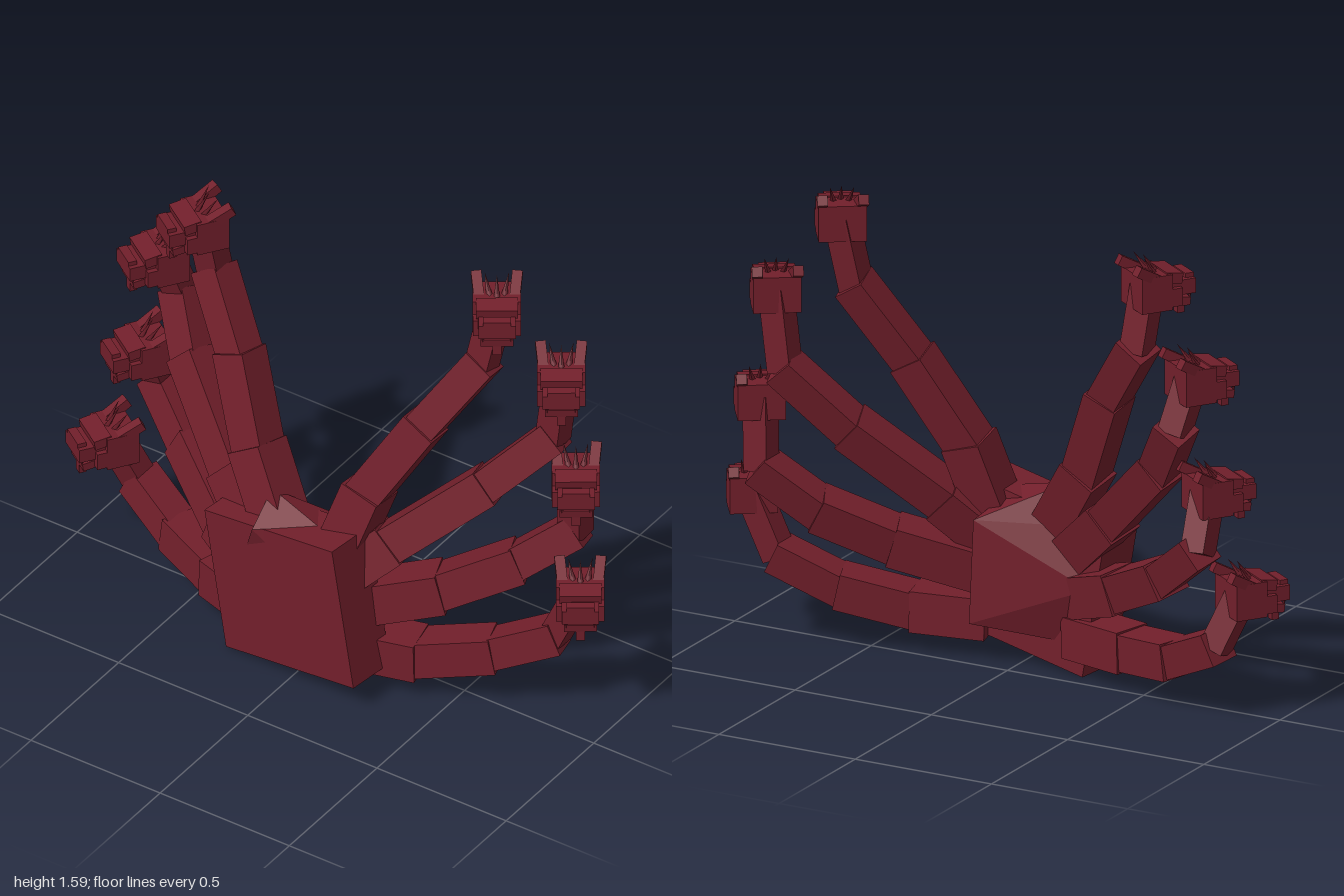
import * as THREE from 'three';
import { ConvexGeometry } from 'three/addons/geometries/ConvexGeometry.js';

const hide = new THREE.MeshStandardMaterial({ color: 0x721f2b });
hide.name = 'dark red hide';

function add(parent, name, geometry, pos = [0, 0, 0], rot = [0, 0, 0]) {
  const mesh = new THREE.Mesh(geometry, hide);
  mesh.name = name;
  mesh.position.set(...pos);
  mesh.rotation.set(...rot);
  parent.add(mesh);
  return mesh;
}
const box = (w, h, d) => new THREE.BoxGeometry(w, h, d);

// One square neck segment between two joints, overlapping its neighbours
function addSegment(parent, a, b, width) {
  const y = b.clone().sub(a);
  const length = y.length();
  y.normalize();
  const x = new THREE.Vector3().crossVectors(y, new THREE.Vector3(0, 0, 1)).normalize();
  const z = new THREE.Vector3().crossVectors(x, y);
  const mesh = add(parent, 'neckSegment', box(width, length + width * 0.25, width));
  mesh.position.copy(a).lerp(b, 0.5);
  mesh.quaternion.setFromRotationMatrix(new THREE.Matrix4().makeBasis(x, y, z));
}

// Blocky head facing local +z
function makeHead() {
  const head = new THREE.Group();
  head.name = 'head';
  add(head, 'skull', box(0.155, 0.12, 0.11));
  add(head, 'brow', box(0.135, 0.035, 0.06), [0, 0.043, 0.065], [0.15, 0, 0]);
  add(head, 'snout', box(0.12, 0.05, 0.1), [0, 0.005, 0.095]);
  add(head, 'nose', box(0.09, 0.03, 0.03), [0, 0.03, 0.13]);
  add(head, 'lowerJaw', box(0.105, 0.028, 0.09), [0, -0.043, 0.085], [0.12, 0, 0]);
  add(head, 'chin', box(0.028, 0.05, 0.025), [0, -0.072, 0.115]);
  for (const side of [-1, 1]) {
    add(head, 'horn', box(0.034, 0.034, 0.09), [side * 0.062, 0.065, -0.03], [0.5, side * -0.1, 0]);
    add(head, 'cheek', box(0.025, 0.06, 0.05), [side * 0.065, -0.02, 0.065]);
    add(head, 'fang', new THREE.ConeGeometry(0.009, 0.035, 4), [side * 0.045, -0.03, 0.13], [Math.PI, 0, 0]);
  }
  // Crest of thin spikes
  for (let i = -1; i <= 1; i++) {
    add(head, 'crestSpike', new THREE.ConeGeometry(0.013, 0.09, 4),
      [i * 0.03, 0.08, 0.01 - Math.abs(i) * 0.015], [-0.6, 0, -i * 0.2]);
  }
  return head;
}

// Neck joints from body to head
const necks = [
  [[0.12, 0.52, 0.12], [0.18, 0.72, 0.08], [0.34, 1.0, 0], [0.5, 1.26, -0.1], [0.54, 1.485, -0.125]],
  [[0.15, 0.43, 0.12], [0.25, 0.53, 0.06], [0.51, 0.77, -0.1], [0.7, 0.98, -0.21], [0.735, 1.235, -0.205]],
  [[0.15, 0.3, 0.12], [0.4, 0.38, 0], [0.61, 0.49, -0.13], [0.78, 0.635, -0.22], [0.795, 0.86, -0.2]],
  [[0.15, 0.14, 0.12], [0.36, 0.145, 0.07], [0.59, 0.2, -0.02], [0.79, 0.3, -0.09], [0.88, 0.5, -0.1]],
  [[-0.12, 0.5, 0.13], [-0.25, 0.7, 0.07], [-0.37, 0.99, 0], [-0.52, 1.21, -0.08], [-0.54, 1.41, -0.05]],
  [[-0.2, 0.42, 0.12], [-0.35, 0.56, 0.05], [-0.61, 0.82, -0.09], [-0.71, 0.99, -0.17], [-0.74, 1.15, -0.12]],
  [[-0.2, 0.27, 0.12], [-0.39, 0.335, 0.04], [-0.63, 0.46, -0.1], [-0.8, 0.6, -0.18], [-0.79, 0.77, -0.1]],
  [[-0.2, 0.13, 0.12], [-0.41, 0.135, 0.06], [-0.62, 0.16, -0.02], [-0.81, 0.25, -0.08], [-0.875, 0.42, -0.03]],
];
const widths = [0.14, 0.125, 0.11, 0.085];

export function createModel() {
  const model = new THREE.Group();
  model.name = 'manyHeadedCreature';

  // Tilted chest slab
  const chest = add(model, 'chest', box(0.55, 0.51, 0.18), [-0.03, 0.308, 0.173]);
  chest.rotation.set(0, -0.12, 0.18, 'YXZ');

  // Angular back block that breaks through the top of the slab
  const backPoints = [
    [-0.15, 0.63, 0.14], [-0.14, 0.55, 0.27], [-0.2, 0.4, 0.23], [0.05, 0.58, 0.17],
    [0.12, 0.5, -0.01], [0.13, 0.15, -0.02], [-0.22, 0.1, 0.1], [-0.12, 0.5, 0.07],
    [-0.27, 0.31, 0.05], [0.2, 0.2, 0.15],
  ].map(p => new THREE.Vector3(...p));
  add(model, 'backBlock', new ConvexGeometry(backPoints));

  for (const path of necks) {
    const neck = new THREE.Group();
    neck.name = 'neck';
    const joints = path.map(p => new THREE.Vector3(...p));
    widths.forEach((w, i) => addSegment(neck, joints[i], joints[i + 1], w));
    // Heads turn outward from the body
    const head = makeHead();
    head.position.copy(joints[4]);
    head.rotation.y = Math.sign(path[4][0]) * 0.6;
    neck.add(head);
    model.add(neck);
  }
  return model;
}
